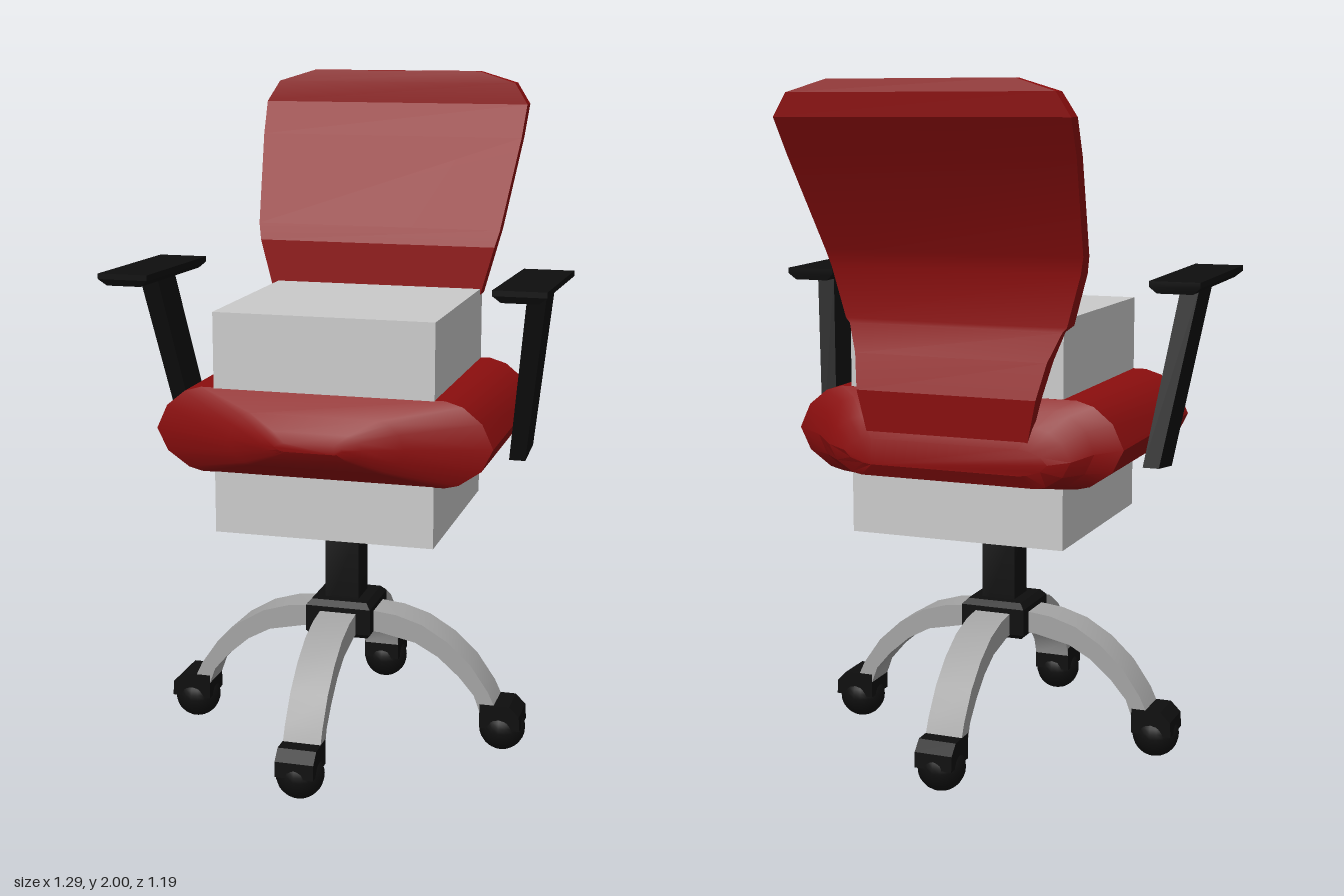
import * as THREE from 'three';
import { toCreasedNormals } from 'three/addons/utils/BufferGeometryUtils.js';

const material = (name, color) => {
  const m = new THREE.MeshStandardMaterial({ color });
  m.name = name;
  return m;
};

// Skin equal-length rings [[x, y, z], ...], counterclockwise seen from the end; both ends are capped
function loft(rings, crease = 0.3) {
  const n = rings[0].length;
  const index = [];
  for (let r = 0; r < rings.length - 1; r++) {
    for (let i = 0; i < n; i++) {
      const j = (i + 1) % n;
      const a = r * n + i, b = r * n + j, c = b + n, d = a + n;
      index.push(a, b, c, a, c, d);
    }
  }
  const last = (rings.length - 1) * n;
  for (let i = 1; i < n - 1; i++) {
    index.push(0, i + 1, i, last, last + i, last + i + 1);
  }
  const geometry = new THREE.BufferGeometry();
  geometry.setAttribute('position', new THREE.Float32BufferAttribute(rings.flat(2), 3));
  geometry.setIndex(index);
  return toCreasedNormals(geometry, crease);
}

// Horizontal rectangle; tilt raises it towards the front
const rect = (x0, x1, y, z0, z1, tilt = 0) => [
  [x0, y + tilt * z1, z1], [x1, y + tilt * z1, z1], [x1, y + tilt * z0, z0], [x0, y + tilt * z0, z0],
];

// Side profile extruded to a centred width
function slab(points, width) {
  const shape = new THREE.Shape(points.map(([x, y]) => new THREE.Vector2(x, y)));
  const geometry = new THREE.ExtrudeGeometry(shape, { depth: width, bevelEnabled: false });
  geometry.translate(0, 0, -width / 2);
  return toCreasedNormals(geometry, 0.4);
}

export function createModel() {
  const red = material('red upholstery', 0x8c0e0e);
  const black = material('black plastic', 0x0e0e0e);
  const metal = material('grey metal', 0xa4a4a4);
  const pale = material('pale grey block', 0xcacaca);

  const chair = new THREE.Group();
  chair.name = 'officeChair';
  const add = (parent, name, geometry, mat, x = 0, y = 0, z = 0) => {
    const mesh = new THREE.Mesh(geometry, mat);
    mesh.name = name;
    mesh.position.set(x, y, z);
    parent.add(mesh);
    return mesh;
  };

  // Block through the seat
  add(chair, 'centreBlock', new THREE.BoxGeometry(0.65, 0.65, 0.645), pale, 0.005, 1.027, 0);

  // Seat cushion: rounded section, tapering at the front and back
  const half = [[0.36, -0.125], [0.4, -0.115], [0.465, -0.07], [0.497, -0.005], [0.465, 0.065], [0.41, 0.11], [0.36, 0.125]];
  const section = [...half, ...half.map(([x, y]) => [-x, y]).reverse()];
  const seatStations = [
    // z, width scale, height scale, centre height
    [-0.42, 0.62, 0.3, 0.965],
    [-0.395, 0.74, 0.68, 0.975],
    [-0.355, 0.85, 0.88, 0.995],
    [-0.325, 1, 1, 1.007],
    [0.32, 1, 1, 1.007],
    [0.39, 0.52, 0.6, 1.005],
    [0.425, 0.3, 0.3, 1.003],
    [0.44, 0.2, 0.1, 1.0],
  ];
  add(chair, 'seatCushion', loft(seatStations.map(([z, sx, sy, cy]) =>
    section.map(([x, y]) => [x * sx, cy + y * sy, z])), 0.5), red);

  // Backrest: bent panel
  const backStations = [
    // y, front z, back z, half width
    [1.0, -0.39, -0.41, 0.24],
    [1.14, -0.37, -0.42, 0.27],
    [1.24, -0.332, -0.385, 0.29],
    [1.32, -0.325, -0.352, 0.322],
    [1.335, -0.29, -0.35, 0.335],
    [1.48, -0.297, -0.355, 0.375],
    [1.53, -0.32, -0.37, 0.387],
    [1.8, -0.477, -0.525, 0.42],
    [1.9, -0.535, -0.587, 0.426],
    [1.965, -0.54, -0.59, 0.385],
    [2.0, -0.548, -0.58, 0.27],
  ];
  add(chair, 'backrest', loft(backStations.map(([y, zf, zb, w]) => rect(-w, w, y, zb, zf))), red, -0.004);

  // Armrests: leaning post and flat pad
  for (const s of [1, -1]) {
    const plate = (a, b, ...rest) => rect(Math.min(s * a, s * b), Math.max(s * a, s * b), ...rest);
    const arm = new THREE.Group();
    arm.name = s > 0 ? 'leftArmrest' : 'rightArmrest';
    chair.add(arm);
    add(arm, 'armPost', loft([
      plate(0.487, 0.535, 0.9, -0.115, 0.018, -0.12),
      plate(0.555, 0.61, 1.425, 0.015, 0.155),
    ]), black);
    add(arm, 'armPad', loft([
      plate(0.518, 0.622, 1.414, -0.105, 0.365, 0.02),
      plate(0.496, 0.645, 1.433, -0.11, 0.375, 0.02),
      plate(0.496, 0.645, 1.449, -0.11, 0.375, 0.02),
    ]), black);
  }

  // Base: column and hub
  const base = new THREE.Group();
  base.name = 'base';
  base.position.set(-0.003, 0, 0.04);
  chair.add(base);
  const tower = (stations) => loft(stations.map(([y, w]) => rect(-w, w, y, -w, w)));
  add(base, 'column', tower([[0.4, 0.052], [0.68, 0.052], [0.705, 0.045]]), black);
  add(base, 'hub', tower([[0.342, 0.09], [0.355, 0.1], [0.435, 0.1], [0.452, 0.085]]), black);

  // Four arched legs with casters
  const arch = [
    [0.05, 0.355], [0.12, 0.353], [0.23, 0.33], [0.3, 0.292], [0.365, 0.235], [0.412, 0.18], [0.43, 0.13],
    [0.485, 0.13], [0.455, 0.195], [0.4, 0.275], [0.33, 0.34], [0.25, 0.388], [0.17, 0.412], [0.05, 0.425],
  ];
  const hood = [[0.43, 0.08], [0.553, 0.08], [0.55, 0.125], [0.52, 0.155], [0.43, 0.155]];
  const legGeometry = slab(arch, 0.112);
  const hoodGeometry = slab(hood, 0.114);
  const ballGeometry = new THREE.SphereGeometry(0.07, 20, 14);
  for (let i = 0; i < 4; i++) {
    const leg = new THREE.Group();
    leg.name = 'leg' + (i + 1);
    leg.rotation.y = i * Math.PI / 2;
    base.add(leg);
    add(leg, 'legArch', legGeometry, metal);
    add(leg, 'casterHood', hoodGeometry, black);
    add(leg, 'casterBall', ballGeometry, black, 0.49, 0.07, 0);
  }
  return chair;
}
